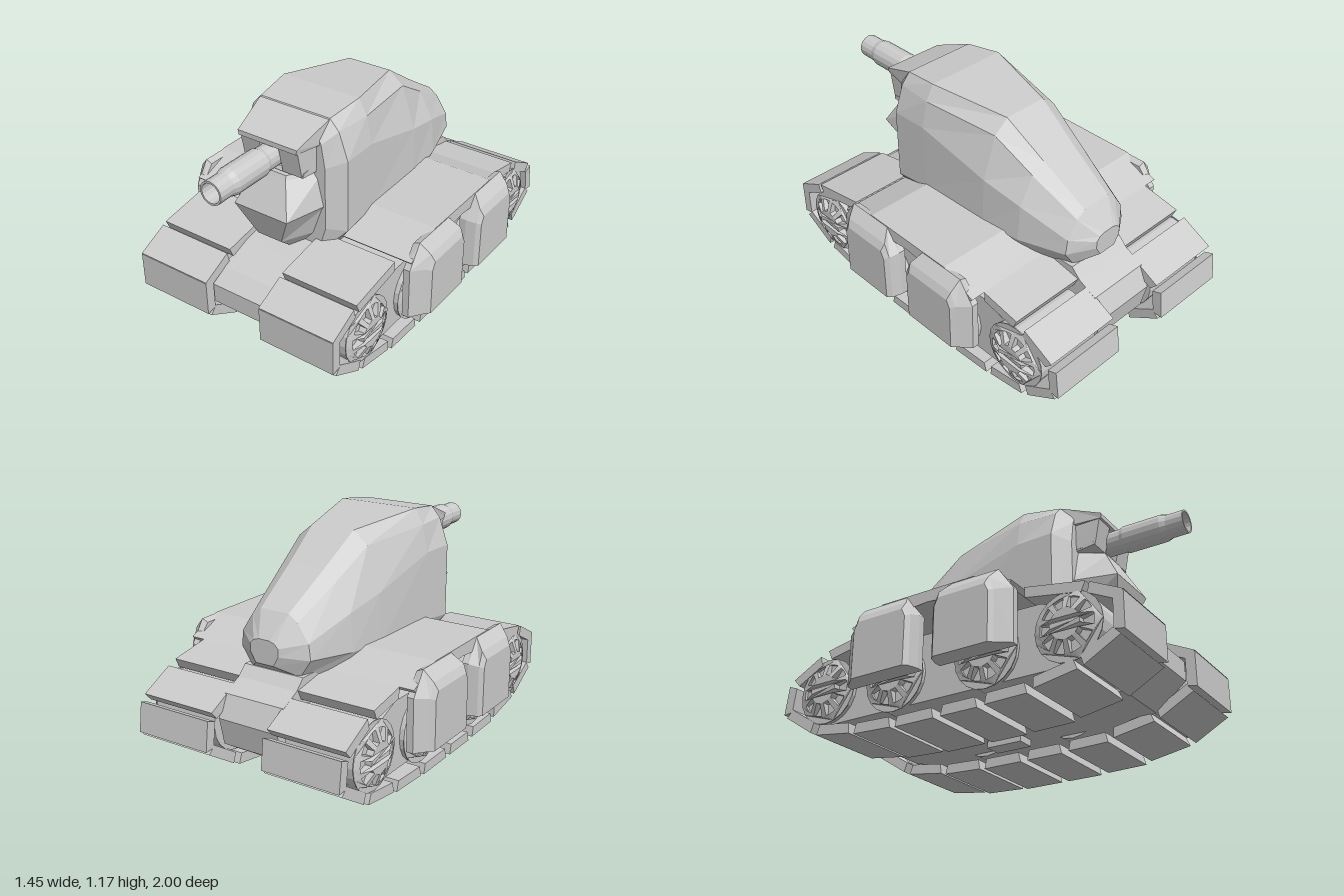
import * as THREE from 'three';

const mat = new THREE.MeshStandardMaterial({ color: 0xcccccc, flatShading: true, side: THREE.DoubleSide });

function add(parent, name, geometry) {
  const mesh = new THREE.Mesh(geometry, mat);
  mesh.name = name;
  parent.add(mesh);
  return mesh;
}

// Faceted solid through closed rings of equal point count, capped at both ends
function loft(rings) {
  const tris = [];
  const n = rings[0].length;
  const quad = (a, b, c, d) => tris.push([a, b, c], [a, c, d]);
  for (let r = 0; r < rings.length - 1; r++) {
    for (let i = 0; i < n; i++) {
      const j = (i + 1) % n;
      quad(rings[r][i], rings[r][j], rings[r + 1][j], rings[r + 1][i]);
    }
  }
  const cap = (ring, flip) => {
    const c = [0, 1, 2].map(k => ring.reduce((s, p) => s + p[k], 0) / n);
    for (let i = 0; i < n; i++) {
      const j = (i + 1) % n;
      tris.push(flip ? [c, ring[j], ring[i]] : [c, ring[i], ring[j]]);
    }
  };
  cap(rings[0], true);
  cap(rings[rings.length - 1], false);
  // Turn the faces outward whichever way the rings run
  const v = p => new THREE.Vector3(...p);
  const volume = tris.reduce((s, [a, b, c]) => s + v(a).dot(v(b).cross(v(c))), 0);
  if (volume < 0) tris.forEach(t => t.reverse());
  const g = new THREE.BufferGeometry();
  g.setAttribute('position', new THREE.Float32BufferAttribute(tris.flat(2), 3));
  g.computeVertexNormals();
  return g;
}

// Side profile of [z, y] points carried from x0 to x1
const slab = (profile, x0, x1) => loft([x0, x1].map(x => profile.map(([z, y]) => [x, y, z])));

// Right and left halves of a section joined into one ring
const mirrorRing = (half, z) => [
  ...half.map(([x, y]) => [x, y, z]),
  ...[...half].reverse().map(([x, y]) => [-x, y, z])];

// Spoked, slightly domed wheel face, centred on the x axis
function wheelFace(radius) {
  const shape = new THREE.Shape().absarc(0, 0, radius, 0, Math.PI * 2, false);
  for (let i = 0; i < 10; i++) {
    const a = i * Math.PI / 5, h = 0.21;
    const hole = new THREE.Path();
    hole.absarc(0, 0, 0.135, a - h, a + h, false);
    hole.absarc(0, 0, 0.075, a + h * 0.8, a - h * 0.8, true);
    hole.closePath();
    shape.holes.push(hole);
  }
  const g = new THREE.ExtrudeGeometry(shape, { depth: 0.03, bevelEnabled: false, curveSegments: 10 });
  const p = g.attributes.position;
  for (let i = 0; i < p.count; i++) {
    const r = Math.hypot(p.getX(i), p.getY(i));
    if (p.getZ(i) > 0.01) p.setZ(i, 0.04 - 0.035 * Math.max(0, (r - 0.08) / (radius - 0.08)));
  }
  g.rotateY(Math.PI / 2);
  g.computeVertexNormals();
  return g;
}

export function createModel() {
  const model = new THREE.Group();
  model.name = 'tank';

  // Hull between the tracks, and the wide core carrying the wheels
  add(model, 'hull', slab([[0.45, 0.5], [0.62, 0.46], [0.78, 0.4], [0.86, 0.34], [0.86, 0.24], [0.7, 0.11],
    [-0.72, 0.11], [-0.86, 0.2], [-0.89, 0.34], [-0.84, 0.45], [-0.74, 0.5], [-0.69, 0.55], [-0.4, 0.55]], -0.17, 0.17));
  add(model, 'hullCore', slab([[0.5, 0.44], [0.72, 0.34], [0.66, 0.11], [-0.7, 0.11], [-0.8, 0.34], [-0.5, 0.46]], -0.55, 0.55));

  // Fender plate with sloping ends
  add(model, 'fender', slab([[0.41, 0.54], [0.2, 0.62], [-0.33, 0.62], [-0.52, 0.54],
    [-0.5, 0.52], [-0.33, 0.56], [0.2, 0.56], [0.39, 0.52]], -0.655, 0.655));

  // Outer edges of the track pads, [z0, y0, z1, y1], running once round the track
  const pads = [[0.44, 0.015, 0.22, 0.01], [0.18, 0.005, -0.02, 0.005], [-0.06, 0.005, -0.28, 0.005],
    [-0.31, 0.01, -0.53, 0.02], [-0.56, 0.03, -0.77, 0.06], [-0.81, 0.08, -0.98, 0.19],
    [-1, 0.21, -0.98, 0.36], [-0.95, 0.39, -0.78, 0.48], [-0.73, 0.5, -0.52, 0.54],
    [0.43, 0.53, 0.74, 0.475], [0.76, 0.465, 0.92, 0.385], [0.92, 0.38, 0.92, 0.2],
    [0.9, 0.18, 0.72, 0.08], [0.69, 0.07, 0.47, 0.03]];
  const wheels = [[0.65, 0.28], [0.22, 0.255], [-0.3, 0.255], [-0.72, 0.28]];

  for (const side of [1, -1]) {
    const running = new THREE.Group();
    running.name = side > 0 ? 'leftRunningGear' : 'rightRunningGear';
    model.add(running);

    for (const [z0, y0, z1, y1] of pads) {
      const len = Math.hypot(z1 - z0, y1 - y0);
      const dz = (z1 - z0) / len, dy = (y1 - y0) / len, t = 0.052, e = 0.012;
      add(running, 'trackPad', slab([[z0, y0], [z1, y1],
        [z1 + dy * t - dz * e, y1 - dz * t - dy * e], [z0 + dy * t + dz * e, y0 - dz * t + dy * e]],
      side * 0.16, side * 0.58));
    }

    for (const [z, y] of wheels) {
      const drum = add(running, 'wheelDrum', new THREE.CylinderGeometry(0.165, 0.165, 0.37, 20));
      drum.rotation.z = Math.PI / 2;
      drum.position.set(side * 0.39, y, z);
      const face = add(running, 'wheelFace', wheelFace(0.17));
      face.position.set(side * 0.572, y, z);
      if (side < 0) face.rotation.y = Math.PI;
    }

    // Two bevelled skirt plates hanging from the fender
    const skirt = (name, z0, z1, f0, f1) => add(running, name, loft([
      [0.62, z0, z1, 0.5, 0.6, 0.08], [0.655, z0, z1, 0.5, 0.615, 0.08],
      [0.705, f0 + 0.02, f1 - 0.02, 0.49, 0.56, 0.03], [0.725, f0, f1, 0.48, 0.52, 0.02],
    ].map(([x, a, b, yMid, yTop, c]) =>
      [[a, 0.23], [a, yMid], [a - c, yTop], [b + c, yTop], [b, yMid], [b, 0.23]].map(([z, y]) => [side * x, y, z]))));
    skirt('frontSkirt', 0.42, 0, 0.33, 0.035);
    skirt('rearSkirt', -0.1, -0.52, -0.135, -0.44);

    const block = add(running, 'bellyBlock', new THREE.BoxGeometry(0.1, 0.05, 0.2));
    block.position.set(side * 0.115, 0.1, -0.1);
  }

  // Turret shell: sections from nose to tail, each bottom to roof
  const turret = new THREE.Group();
  turret.name = 'turret';
  model.add(turret);
  add(turret, 'turretShell', loft([
    [0.48, [[0.17, 0.44], [0.22, 0.6], [0.22, 0.93], [0.2, 1.05], [0.18, 1.09]]],
    [0.41, [[0.22, 0.47], [0.3, 0.58], [0.3, 0.96], [0.25, 1.1], [0.2, 1.155]]],
    [0.21, [[0.25, 0.5], [0.295, 0.6], [0.295, 0.96], [0.265, 1.1], [0.22, 1.18]]],
    [-0.2, [[0.25, 0.5], [0.285, 0.6], [0.275, 0.85], [0.2, 1.07], [0.12, 1.135]]],
    [-0.42, [[0.22, 0.52], [0.265, 0.61], [0.25, 0.8], [0.17, 0.94], [0.1, 0.99]]],
    [-0.67, [[0.14, 0.54], [0.2, 0.63], [0.19, 0.71], [0.13, 0.8], [0.08, 0.835]]],
    [-0.755, [[0.05, 0.6], [0.08, 0.65], [0.08, 0.69], [0.06, 0.71], [0.03, 0.72]]],
  ].map(([z, half]) => mirrorRing(half, z))));

  const ring = add(turret, 'turretRing', new THREE.CylinderGeometry(0.25, 0.22, 0.14, 16));
  ring.position.set(0, 0.52, 0.12);

  // Brow over the gun, with a cheek on each side of the recess
  add(turret, 'brow', loft([
    [0.35, [[0.2, 1.04], [0.2, 1.157]]],
    [0.42, [[0.2, 1.04], [0.2, 1.15]]],
    [0.62, [[0.165, 1.05], [0.17, 1.075]]],
  ].map(([z, half]) => mirrorRing(half, z))));
  for (const side of [1, -1]) {
    add(turret, 'gunCheek', loft([
      [0.055, 0.18, 0.4, 0], [0.055, 0.165, 0.58, 0.03],
    ].map(([a, b, z, dz]) => [[a, 0.91, z], [b, 0.91, z], [b, 1.06, z + dz], [a, 1.06, z + dz]]
      .map(([x, y, w]) => [side * x, y, w]))));
  }
  add(turret, 'gunSill', slab([[0.4, 0.89], [0.58, 0.91], [0.57, 0.93], [0.4, 0.95]], -0.17, 0.17));

  // Faceted chin under the gun: [y, side x, side z, front x, front z]
  add(turret, 'chin', loft([
    [0.9, 0.17, 0.45, 0.08, 0.59], [0.88, 0.18, 0.45, 0.085, 0.6], [0.72, 0.215, 0.46, 0.155, 0.69],
    [0.55, 0.16, 0.45, 0.07, 0.63], [0.41, 0.1, 0.43, 0.03, 0.47],
  ].map(([y, sx, sz, fx, fz]) =>
    [[sx, y, 0.38], [sx, y, sz], [fx, y, fz], [-fx, y, fz], [-sx, y, sz], [-sx, y, 0.38]])));

  // Gun barrel with a thicker sleeve and an open bore
  const profile = [[0.062, 0], [0.062, 0.16], [0.07, 0.18], [0.07, 0.38], [0.06, 0.41], [0.06, 0.5], [0.05, 0.5], [0.05, 0.25], [0, 0.25]];
  const barrel = add(turret, 'gunBarrel', new THREE.LatheGeometry(profile.map(([r, y]) => new THREE.Vector2(r, y)), 16));
  barrel.rotation.x = Math.PI / 2;
  barrel.position.set(-0.005, 0.985, 0.5);

  return model;
}
